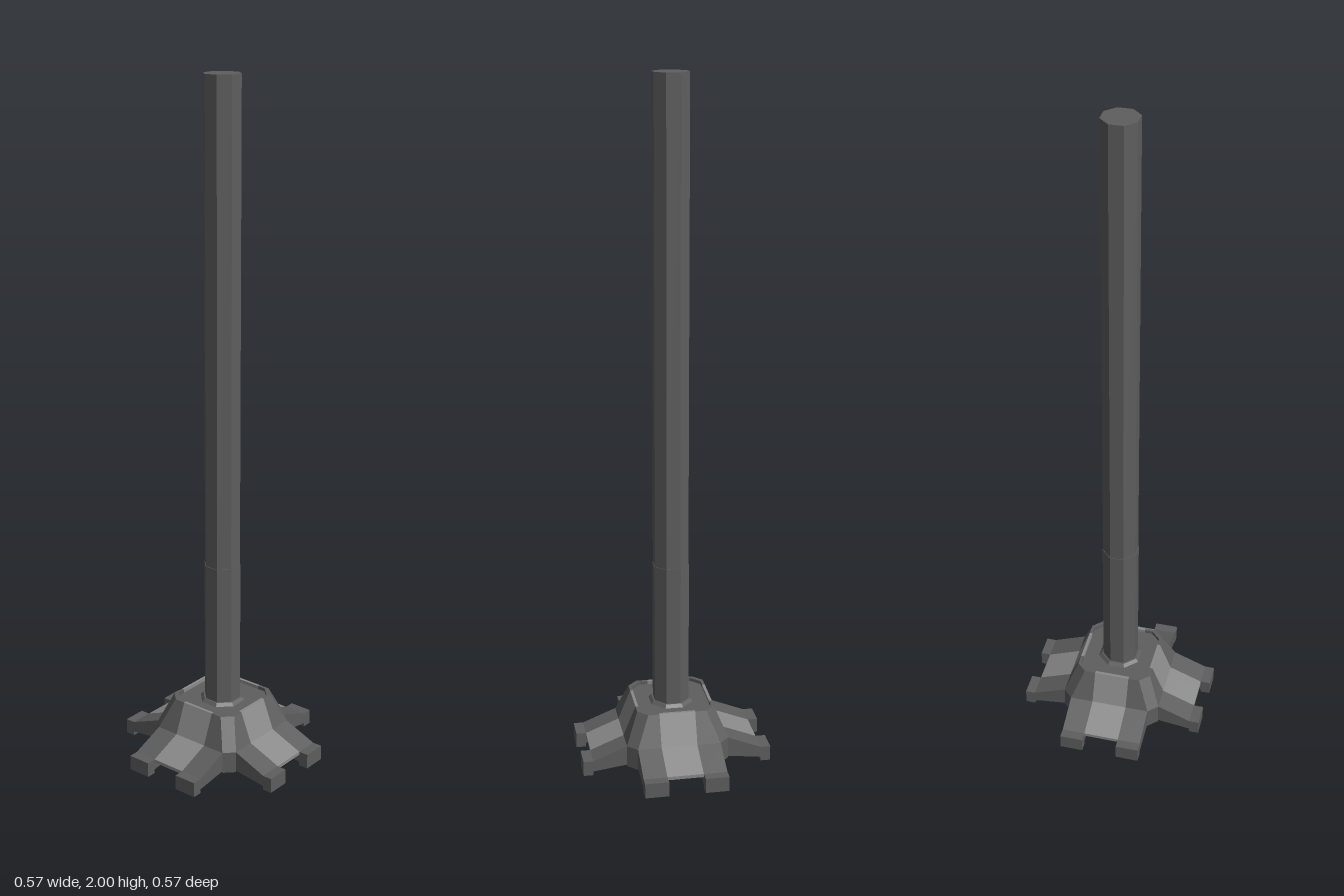
import * as THREE from 'three';

const dark = new THREE.MeshStandardMaterial({ color: 0x5e5e5e, flatShading: true, side: THREE.DoubleSide });
dark.name = 'darkSteel';
const light = new THREE.MeshStandardMaterial({ color: 0x8a8a8a, flatShading: true, side: THREE.DoubleSide });
light.name = 'lightSteel';

function add(parent, name, geometry, material) {
  const mesh = new THREE.Mesh(geometry, material);
  mesh.name = name;
  parent.add(mesh);
  return mesh;
}

// folded sheet running outward along z; each row is [z, y, xLeft, xRight]
function foldedSheet(rows) {
  const p = [];
  for (let i = 0; i + 1 < rows.length; i++) {
    const [z0, y0, a0, b0] = rows[i];
    const [z1, y1, a1, b1] = rows[i + 1];
    const A = [a0, y0, z0], B = [b0, y0, z0], C = [a1, y1, z1], D = [b1, y1, z1];
    p.push(...A, ...C, ...D, ...A, ...D, ...B);
  }
  const g = new THREE.BufferGeometry();
  g.setAttribute('position', new THREE.Float32BufferAttribute(p, 3));
  g.computeVertexNormals();
  return g;
}

// octagonal prism with flats facing the axes; radii are given to the flats
function octagon(rTop, rBottom, y0, y1) {
  const k = 1 / Math.cos(Math.PI / 8);
  const g = new THREE.CylinderGeometry(rTop * k, rBottom * k, y1 - y0, 8);
  g.rotateY(Math.PI / 8);
  g.translate(0, (y0 + y1) / 2, 0);
  return g;
}

export function createModel() {
  const model = new THREE.Group();
  model.name = 'pole';

  // pole, sleeve and collar
  add(model, 'shaft', octagon(0.049, 0.049, 0.6, 2), dark);
  add(model, 'sleeve', octagon(0.0505, 0.0505, 0.165, 0.6), dark);
  add(model, 'collar', octagon(0.055, 0.063, 0.165, 0.174), dark);

  // recessed top plate of the base
  const outline = [];
  for (let k = 0; k < 4; k++) {
    for (const s of [-0.02, 0.02]) {
      outline.push(new THREE.Vector2(0.13, s).rotateAround(new THREE.Vector2(), k * Math.PI / 2));
    }
  }
  const plate = new THREE.ShapeGeometry(new THREE.Shape(outline));
  plate.rotateX(-Math.PI / 2);
  plate.translate(0, 0.165, 0);
  add(model, 'topPlate', plate, dark);

  // side profile of the lower legs
  const legShape = new THREE.Shape([
    [0.1506, 0.085], [0.1506, 0.025], [0.25, 0.012], [0.25, 0],
    [0.279, 0], [0.279, 0.045], [0.25, 0.045],
  ].map(([x, y]) => new THREE.Vector2(x, y)));

  const inner = 0.053;
  for (let k = 0; k < 4; k++) {
    // narrow corner facet between two pairs of legs
    const corner = add(model, 'cornerFacet', foldedSheet([
      [0.13, 0.165, -0.02, 0.02], [0.13, 0.175, -0.02, 0.02],
      [0.142, 0.175, -0.02, 0.02], [0.193, 0.085, -0.02, 0.02],
      [0.193, 0.02, -0.02, 0.02],
    ]), dark);
    corner.rotation.y = k * Math.PI / 2;

    const side = new THREE.Group();
    side.name = 'legPair';
    side.rotation.y = (k + 0.5) * Math.PI / 2;
    model.add(side);

    // light panel from the rim down between the legs
    add(side, 'centrePanel', foldedSheet([
      [0.106, 0.165], [0.106, 0.175], [0.1146, 0.175],
      [0.1506, 0.085], [0.25, 0.045], [0.25, 0.035],
    ].map(([z, y]) => [z, y, -inner, inner])), light);

    for (const s of [-1, 1]) {
      // tapering shoulder above each leg
      const rows = [
        [0.106, 0.165, 0.078], [0.106, 0.175, 0.078],
        [0.1146, 0.175, 0.0863], [0.1506, 0.085, 0.1223],
      ].map(([z, y, v]) => (s > 0 ? [z, y, inner, v] : [z, y, -v, -inner]));
      add(side, 'shoulder', foldedSheet(rows), dark);

      // leg ending in a flat foot
      const width = 0.1223 - inner;
      const leg = new THREE.ExtrudeGeometry(legShape, { depth: width, bevelEnabled: false });
      leg.rotateY(-Math.PI / 2);
      leg.translate(s > 0 ? inner + width : -inner, 0, 0);
      add(side, 'leg', leg, dark);
    }
  }
  return model;
}
